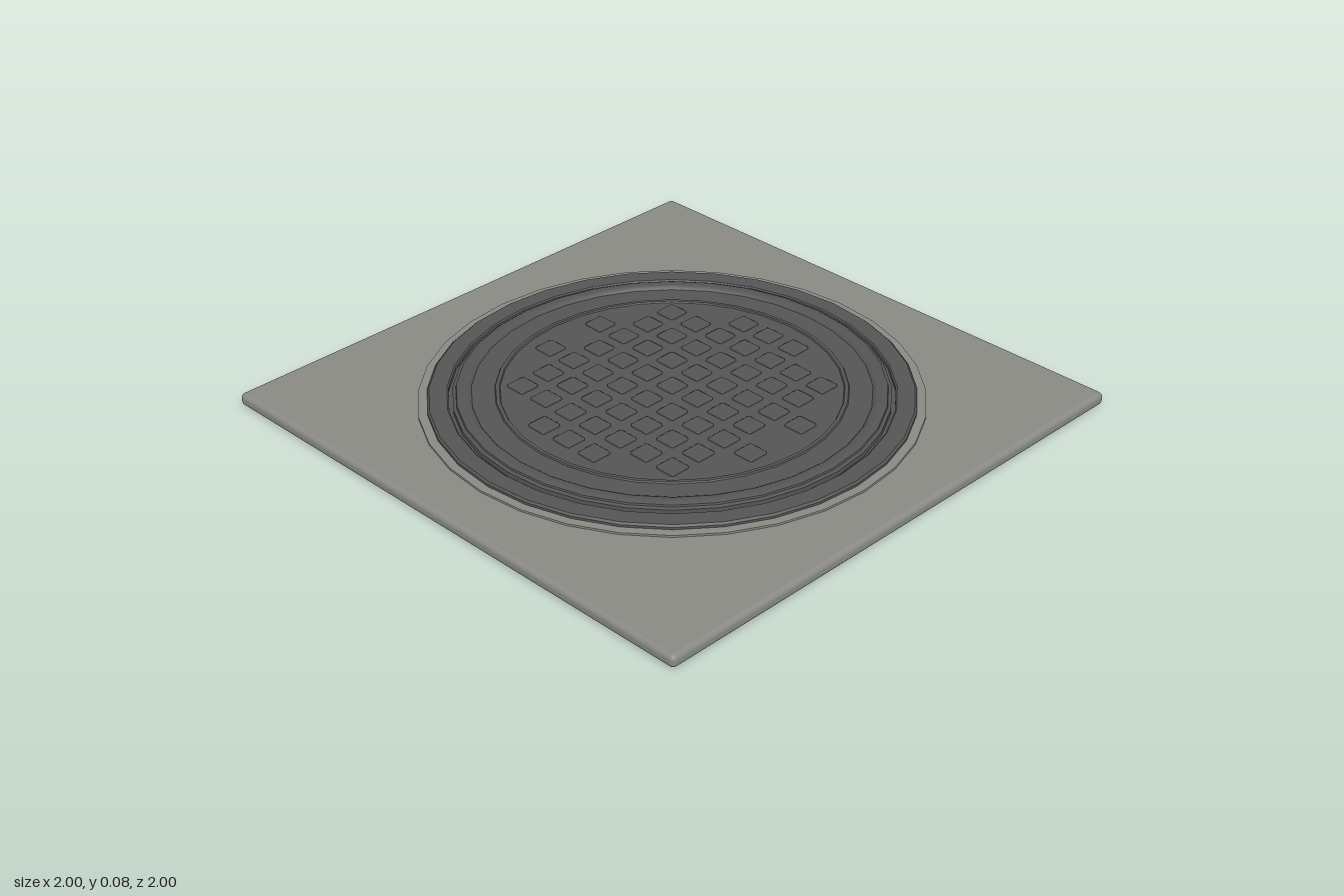
import * as THREE from 'three';
import { RoundedBoxGeometry } from 'three/addons/geometries/RoundedBoxGeometry.js';
import { toCreasedNormals } from 'three/addons/utils/BufferGeometryUtils.js';

const SIDES = 32;

export function createModel() {
  const group = new THREE.Group();
  const concrete = new THREE.MeshStandardMaterial({ color: 0x8a8a85 });
  concrete.name = 'concrete';
  const iron = new THREE.MeshStandardMaterial({ color: 0x555555 });
  iron.name = 'castIron';

  function add(name, geometry, material, x = 0, y = 0, z = 0) {
    const mesh = new THREE.Mesh(geometry, material);
    mesh.name = name;
    mesh.position.set(x, y, z);
    group.add(mesh);
    return mesh;
  }

  // Turned part; profile runs from the outer foot inward to the axis
  function turned(name, profile, material) {
    const points = profile.map(([r, y]) => new THREE.Vector2(r, y));
    const lathe = new THREE.LatheGeometry(points, SIDES);
    return add(name, toCreasedNormals(lathe, 0.6), material);
  }

  // Square paving slab with rounded edges
  add('slab', new RoundedBoxGeometry(2, 0.045, 2, 3, 0.018), concrete, 0, 0.0225, 0);

  // Thin concrete lip around the frame
  turned('concreteLip', [[0.83, 0.04], [0.83, 0.052], [0.78, 0.052]], concrete);

  // Iron frame, with a narrow gap inside it
  turned('frame', [
    [0.8, 0.045], [0.8, 0.06], [0.793, 0.066], [0.735, 0.066], [0.73, 0.062], [0.73, 0.05], [0.7, 0.05],
  ], iron);

  // Cover plate with a raised outer rim
  turned('cover', [
    [0.717, 0.05], [0.717, 0.066], [0.706, 0.07], [0.704, 0.076], [0.695, 0.08],
    [0.67, 0.08], [0.66, 0.076], [0.655, 0.069], [0, 0.069],
  ], iron);

  // Slim raised ring around the tread
  turned('innerRing', [
    [0.58, 0.067], [0.576, 0.074], [0.564, 0.074], [0.56, 0.067],
  ], iron);

  // Square tread studs on a grid: half-count of columns for each row
  const pitch = 0.115;
  const studGeometry = new RoundedBoxGeometry(0.074, 0.018, 0.074, 1, 0.006);
  const halfColumns = [3, 4, 3, 3, 1];
  for (let row = -4; row <= 4; row++) {
    const half = halfColumns[Math.abs(row)];
    for (let col = -half; col <= half; col++) {
      add('treadStud', studGeometry, iron, col * pitch, 0.069, row * pitch);
    }
  }

  return group;
}
